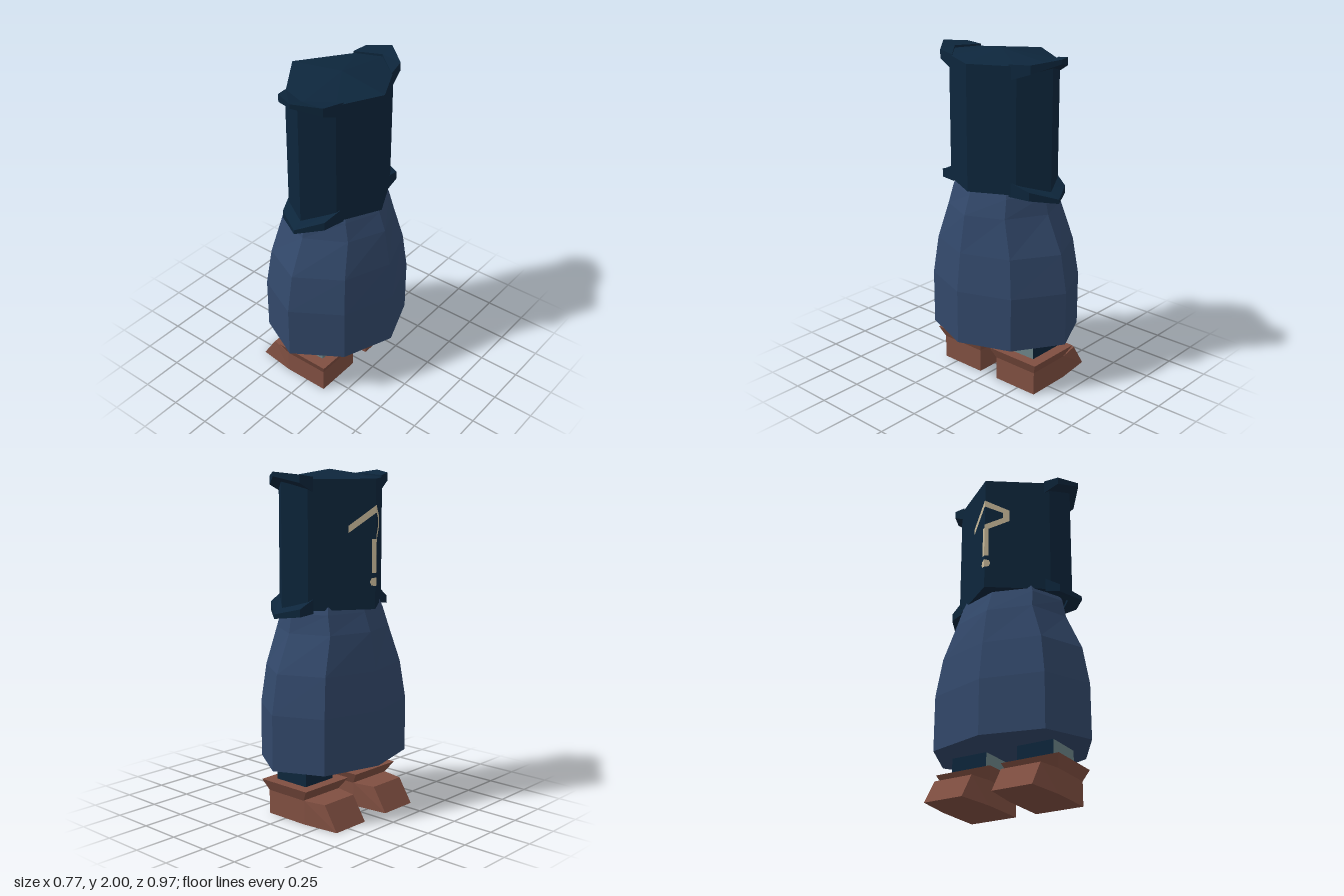
import * as THREE from 'three';

const mat = (name, color, opts = {}) => {
  const m = new THREE.MeshStandardMaterial({ color, flatShading: true, ...opts });
  m.name = name;
  return m;
};

// Closed flat-faced solid through rings of [x, y, z] points,
// counter-clockwise seen from the last ring's end
function loft(rings, startCentre, endCentre) {
  const pos = [];
  const tri = (a, b, c) => pos.push(...a, ...b, ...c);
  const mean = r => [0, 1, 2].map(k => r.reduce((s, p) => s + p[k], 0) / r.length);
  const n = rings[0].length, first = rings[0], last = rings[rings.length - 1];
  const c0 = startCentre || mean(first), c1 = endCentre || mean(last);
  for (let j = 0; j < n; j++) {
    const k = (j + 1) % n;
    for (let i = 0; i < rings.length - 1; i++) {
      const a = rings[i], b = rings[i + 1];
      tri(a[j], a[k], b[k]);
      tri(a[j], b[k], b[j]);
    }
    tri(c0, first[k], first[j]);
    tri(c1, last[j], last[k]);
  }
  const g = new THREE.BufferGeometry();
  g.setAttribute('position', new THREE.Float32BufferAttribute(pos, 3));
  g.computeVertexNormals();
  return g;
}

// Rectangular ring lying flat at height y
const rect = (x0, x1, z, y) => [[x1, y, z], [x1, y, -z], [x0, y, -z], [x0, y, z]];

// Upright rectangular ring for lofts that run along x
const gate = (xLow, xHigh, z, top) =>
  [[xLow, 0, -z], [xHigh, top, -z], [xHigh, top, z], [xLow, 0, z]];

export function createModel() {
  const model = new THREE.Group();
  const navy = mat('hoodNavy', 0x0d263c);
  const blue = mat('robeBlue', 0x32486a);
  const leather = mat('bootBrown', 0x804f41);
  const grey = mat('legGrey', 0x6b8286);
  const cream = mat('markCream', 0xc8b99a, { side: THREE.DoubleSide });

  const add = (name, geometry, material, parent = model) => {
    const m = new THREE.Mesh(geometry, material);
    m.name = name;
    parent.add(m);
    return m;
  };

  // Robe: eight-sided bell, scaled ring by ring
  const hem = [[0.382, 0], [0.265, -0.308], [-0.012, -0.487], [-0.293, -0.357],
    [-0.387, 0], [-0.293, 0.357], [-0.012, 0.487], [0.265, 0.308]];
  const levels = [[0.315, 1, 1], [0.64, 1, 1], [0.87, 0.925, 0.914],
    [1.09, 0.82, 0.71], [1.2, 0.71, 0.665], [1.27, 0.64, 0.6]];
  add('robe', loft(levels.map(([y, sx, sz]) => hem.map(([x, z]) => [x * sx, y, z * sz]))), blue);

  // Hooded head: eight-sided prism with a shallow peak, pointed toward -x
  const plan = [[0.286, 0], [0.16, -0.25], [0.01, -0.38], [-0.13, -0.315],
    [-0.35, 0], [-0.13, 0.315], [0.01, 0.38], [0.16, 0.25]];
  add('head', loft([plan.map(([x, z]) => [x, 1.225, z]), plan.map(([x, z]) => [x, 1.95, z])],
    [0, 1.25, 0], [0, 2, 0]), navy);

  // Flared rims: one shape mirrored to both sides, top and bottom
  const rim = loft([
    [[-0.148, 1.88, 0.29], [-0.148, 1.962, 0.29], [-0.125, 1.975, 0.373], [-0.125, 1.93, 0.373]],
    [[0.01, 1.92, 0.35], [0.01, 1.968, 0.35], [0.012, 1.99, 0.44], [0.012, 1.965, 0.44]],
    [[0.177, 1.87, 0.21], [0.177, 1.958, 0.21], [0.145, 1.965, 0.335], [0.145, 1.915, 0.335]],
  ]);
  for (const sy of [1, -1]) {
    for (const sz of [1, -1]) {
      const m = add((sy > 0 ? 'upper' : 'lower') + 'Rim', rim, navy);
      m.scale.set(1, sy, sz);
      if (sy < 0) m.position.y = 3.172;
    }
  }

  // Painted face stripes, folded around the pointed face
  const face = new THREE.Group();
  face.name = 'faceMarking';
  model.add(face);
  const paint = (name, pts) => {
    const g = new THREE.ShapeGeometry(new THREE.Shape(pts.map(p => new THREE.Vector2(...p))));
    const p = g.attributes.position;
    for (let i = 0; i < p.count; i++) {
      const z = p.getX(i);
      p.setXYZ(i, -0.355 + Math.abs(z) * 0.22 / 0.315, p.getY(i), z);
    }
    g.computeVertexNormals();
    add(name, g, cream, face);
  };
  paint('curvedStripe', [[0, 1.6], [0.12, 1.67], [0.12, 1.743], [0, 1.807],
    [0, 1.765], [0.088, 1.725], [0.088, 1.69], [0, 1.64]]);
  paint('slantedStripe', [[0, 1.807], [-0.13, 1.695], [-0.13, 1.655], [0, 1.765]]);
  for (const s of [1, -1]) {
    paint('uprightStripe', [[0, 1.43], [s * 0.02, 1.43], [s * 0.02, 1.62], [0, 1.62]]);
    paint('spot', [[0, 1.355], [s * 0.022, 1.36], [s * 0.03, 1.38], [s * 0.022, 1.4], [0, 1.405]]);
  }

  // Legs and boots, toes toward -x
  const legBox = new THREE.BoxGeometry(0.23, 0.22, 0.228);
  const boot = loft([gate(-0.375, -0.285, 0.121, 0.142), gate(-0.15, -0.15, 0.148, 0.142),
    gate(0.133, 0.133, 0.148, 0.15)]);
  const cuff = loft([rect(-0.145, 0.133, 0.148, 0.142), rect(-0.193, 0.163, 0.179, 0.21)]);
  for (const [side, z] of [['left', 0.201], ['right', -0.226]]) {
    const leg = new THREE.Group();
    leg.name = side + 'Leg';
    leg.position.z = z;
    model.add(leg);
    // inner lining shows on two faces of each leg
    add('shin', legBox, [grey, navy, grey, grey, grey, navy], leg).position.set(-0.015, 0.29, 0);
    add('boot', boot, leather, leg);
    add('bootCuff', cuff, leather, leg);
  }

  return model;
}
